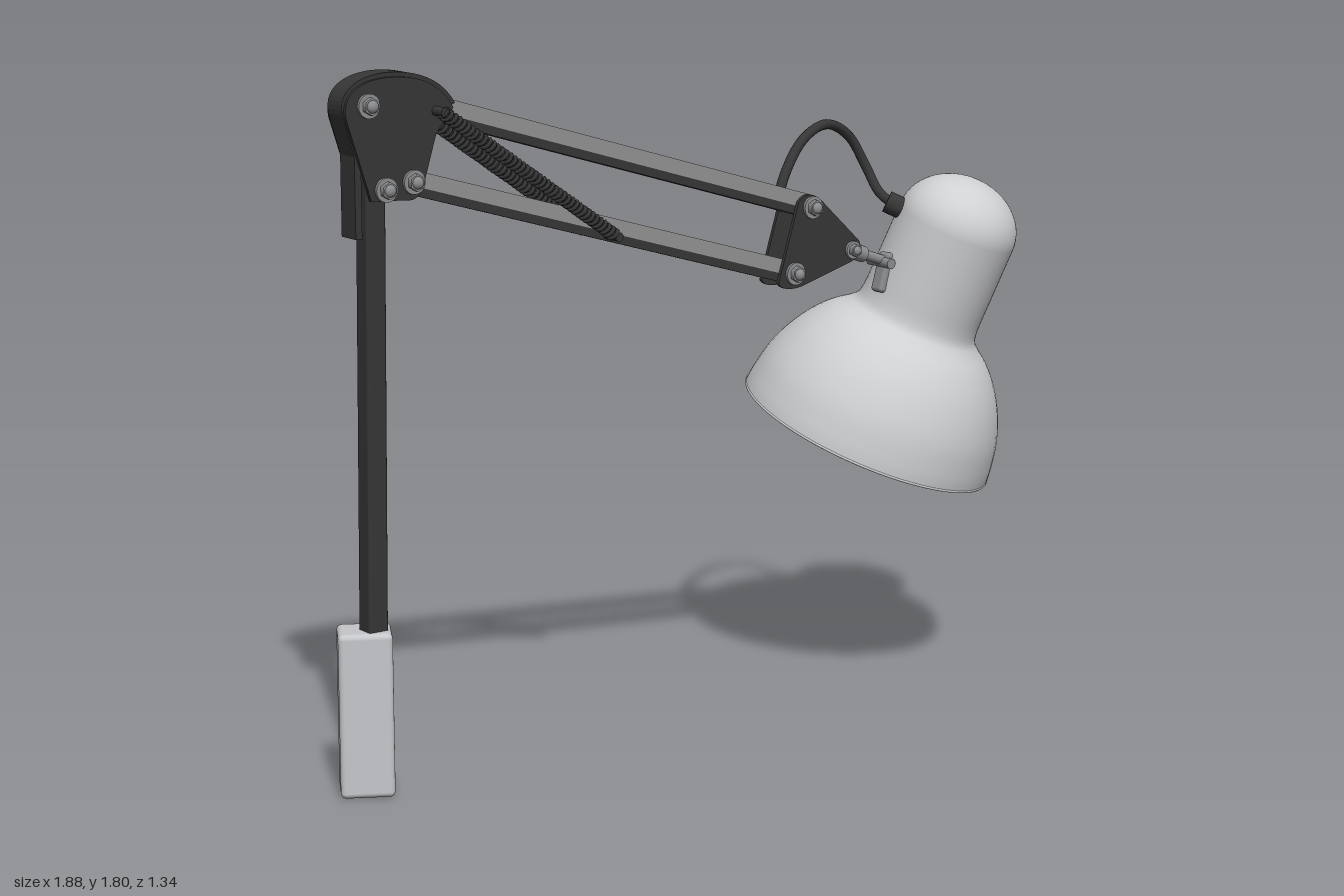
import * as THREE from 'three';
import { RoundedBoxGeometry } from 'three/addons/geometries/RoundedBoxGeometry.js';

const mat = (name, color, side = THREE.FrontSide) => {
  const m = new THREE.MeshStandardMaterial({ color, side });
  m.name = name;
  return m;
};

export function createModel() {
  const dark = mat('darkSteel', 0x363636);
  const grey = mat('armGrey', 0x929292);
  const metal = mat('screwMetal', 0x8c8d8f);
  const light = mat('baseGrey', 0xc6c7cb);
  const enamel = mat('shadeEnamel', 0xcfd0d2, THREE.DoubleSide);
  const glass = mat('bulbGlass', 0xb4b4b6);

  const root = new THREE.Group();
  root.name = 'wallLamp';
  const add = (parent, name, geo, material, x = 0, y = 0, z = 0) => {
    const m = new THREE.Mesh(geo, material);
    m.name = name;
    m.position.set(x, y, z);
    parent.add(m);
    return m;
  };
  const V = (x, y, z = 0) => new THREE.Vector3(x, y, z);
  const Y = V(0, 1, 0);
  // Round rod between two points
  const rod = (parent, name, a, b, r, material, sides = 16) => {
    const d = b.clone().sub(a);
    const m = add(parent, name, new THREE.CylinderGeometry(r, r, d.length(), sides), material);
    m.position.copy(a).add(b).multiplyScalar(0.5);
    m.quaternion.setFromUnitVectors(Y, d.normalize());
    return m;
  };

  // Mounting block
  add(root, 'mountingBlock', new RoundedBoxGeometry(0.135, 0.42, 0.122, 3, 0.014), light, -0.8125, 0.21, 0.58);

  // Everything on the arm lies in one turned vertical plane: x along the arm
  const arm = new THREE.Group();
  arm.name = 'arm';
  arm.position.set(-0.78, 0, 0.585);
  arm.rotation.y = THREE.MathUtils.degToRad(28.5);
  root.add(arm);

  // Upright post, leaning very slightly
  const post = add(arm, 'post', new RoundedBoxGeometry(0.055, 1.15, 0.055, 2, 0.008), dark, -0.004, 0.985, 0);
  post.rotation.z = -0.013;

  // Flat plate cut from a smooth or straight outline
  const plate = (name, shape, thickness, z, material = dark) => {
    const g = new THREE.ExtrudeGeometry(shape, { depth: thickness, bevelEnabled: false, curveSegments: 16 });
    g.translate(0, 0, z - thickness / 2);
    return add(arm, name, g, material);
  };

  // Shoulder bracket: two cheeks with an arched cover and a short tail
  const shoulder = new THREE.Shape();
  shoulder.moveTo(-0.02, 1.49);
  shoulder.lineTo(-0.085, 1.69);
  shoulder.bezierCurveTo(-0.1, 1.76, -0.03, 1.785, 0.04, 1.785);
  shoulder.bezierCurveTo(0.12, 1.785, 0.18, 1.76, 0.215, 1.7);
  shoulder.quadraticCurveTo(0.18, 1.66, 0.165, 1.64);
  shoulder.lineTo(0.125, 1.51);
  shoulder.quadraticCurveTo(0.11, 1.48, 0.08, 1.485);
  shoulder.closePath();

  const cover = new THREE.Shape();
  cover.moveTo(-0.06, 1.4);
  cover.lineTo(-0.06, 1.6);
  cover.lineTo(-0.09, 1.7);
  cover.bezierCurveTo(-0.105, 1.77, -0.03, 1.796, 0.04, 1.796);
  cover.bezierCurveTo(0.12, 1.796, 0.19, 1.77, 0.225, 1.71);
  cover.lineTo(0.205, 1.7);
  cover.bezierCurveTo(0.17, 1.76, 0.12, 1.778, 0.04, 1.778);
  cover.bezierCurveTo(-0.03, 1.778, -0.085, 1.75, -0.072, 1.7);
  cover.lineTo(-0.042, 1.6);
  cover.lineTo(-0.042, 1.4);
  cover.closePath();
  plate('shoulderCover', cover, 0.066, 0);

  // Elbow bracket at the lamp end
  const elbow = new THREE.Shape();
  elbow.moveTo(1.215, 1.165);
  elbow.lineTo(1.28, 1.375);
  elbow.quadraticCurveTo(1.31, 1.41, 1.355, 1.375);
  elbow.lineTo(1.485, 1.255);
  elbow.quadraticCurveTo(1.505, 1.22, 1.46, 1.2);
  elbow.lineTo(1.29, 1.15);
  elbow.quadraticCurveTo(1.23, 1.14, 1.215, 1.165);

  for (const side of [-1, 1]) {
    plate('shoulderCheek', shoulder, 0.01, side * 0.037);
    plate('elbowCheek', elbow, 0.01, side * 0.037);
  }

  // Parallel bars: grey channel above, dark edge below
  const bar = (name, a, b) => {
    const g = new THREE.Group();
    g.name = name;
    g.position.set((a.x + b.x) / 2, (a.y + b.y) / 2, 0);
    g.rotation.z = Math.atan2(b.y - a.y, b.x - a.x);
    arm.add(g);
    const len = a.distanceTo(b) + 0.03;
    add(g, 'barChannel', new THREE.BoxGeometry(len, 0.038, 0.06), grey, 0, 0.011, 0);
    add(g, 'barLowerEdge', new THREE.BoxGeometry(len, 0.022, 0.06), dark, 0, -0.019, 0);
  };
  bar('upperBar', V(0.16, 1.704), V(1.325, 1.36));
  bar('lowerBar', V(0.1, 1.526), V(1.265, 1.188));

  // Pivot screws with washers and domed heads on both sides
  const screw = (x, y, r = 0.024) => {
    rod(arm, 'pivotPin', V(x, y, -0.058), V(x, y, 0.058), r * 0.6, metal);
    for (const side of [-1, 1]) {
      rod(arm, 'washer', V(x, y, side * 0.042), V(x, y, side * 0.05), r * 1.25, metal, 24);
      rod(arm, 'screwHead', V(x, y, side * 0.05), V(x, y, side * 0.064), r * 0.9, metal, 6);
      const cap = add(arm, 'screwCap', new THREE.SphereGeometry(r * 0.65, 14, 8), metal, x, y, side * 0.064);
      cap.scale.z = 0.7;
    }
  };
  [[-0.025, 1.72], [0.02, 1.515], [0.098, 1.528], [1.325, 1.358], [1.268, 1.187]].forEach(([x, y]) => screw(x, y));
  screw(1.462, 1.232, 0.019);

  // Twin coil springs on cross pins
  const s0 = V(0.165, 1.695), s1 = V(0.675, 1.345);
  for (const p of [s0, s1]) rod(arm, 'springPin', V(p.x, p.y, -0.085), V(p.x, p.y, 0.085), 0.012, dark);
  class Helix extends THREE.Curve {
    getPoint(t, out = new THREE.Vector3()) {
      const a = t * 42 * Math.PI * 2;
      return out.set(Math.cos(a) * 0.014, t * this.length, Math.sin(a) * 0.014);
    }
  }
  const dir = s1.clone().sub(s0);
  const helix = new Helix();
  helix.length = dir.length();
  const coil = new THREE.TubeGeometry(helix, 420, 0.0055, 5);
  for (const side of [-1, 1]) {
    const z = side * 0.07;
    const s = add(arm, 'spring', coil, dark, s0.x, s0.y, z);
    s.quaternion.setFromUnitVectors(Y, dir.clone().normalize());
    rod(arm, 'springCore', V(s0.x, s0.y, z), V(s1.x, s1.y, z), 0.011, dark, 10);
  }

  // Swivel rod and clamp holding the shade
  rod(arm, 'swivelRod', V(1.462, 1.232), V(1.6, 1.185), 0.014, metal);
  rod(arm, 'swivelCollar', V(1.5, 1.219), V(1.535, 1.207), 0.022, metal);
  rod(arm, 'clampPin', V(1.6, 1.18, -0.05), V(1.6, 1.18, 0.04), 0.014, metal);
  const clamp = add(arm, 'shadeClamp', new RoundedBoxGeometry(0.04, 0.11, 0.045, 2, 0.01), metal, 1.61, 1.15, 0);
  clamp.rotation.z = -0.28;

  // Shade: flared bell, straight neck, rounded crown
  const head = new THREE.Group();
  head.name = 'lampHead';
  head.position.set(0.615, 0.69, -0.312);
  head.quaternion.setFromUnitVectors(Y, V(0.36, 0.921, 0.142).normalize());
  root.add(head);
  const bell = new THREE.SplineCurve([
    [0.361, 0], [0.357, 0.04], [0.343, 0.11], [0.318, 0.175], [0.284, 0.235],
    [0.24, 0.288], [0.195, 0.325], [0.175, 0.347], [0.168, 0.38], [0.167, 0.43],
  ].map(([r, t]) => new THREE.Vector2(r, t))).getPoints(45);
  const crown = [];
  for (let i = 0; i <= 14; i++) {
    const a = (i / 14) * Math.PI / 2;
    crown.push(new THREE.Vector2(Math.max(0.166 * Math.cos(a), 0.0001), 0.625 + 0.138 * Math.sin(a)));
  }
  add(head, 'shade', new THREE.LatheGeometry([...bell, ...crown], 64), enamel);
  const rim = add(head, 'shadeRim', new THREE.TorusGeometry(0.359, 0.004, 8, 64), enamel);
  rim.rotation.x = Math.PI / 2;

  // Bulb and socket
  const bulb = new THREE.SplineCurve([
    [0.0001, 0.07], [0.06, 0.085], [0.092, 0.14], [0.085, 0.2], [0.05, 0.27], [0.04, 0.33],
  ].map(([r, t]) => new THREE.Vector2(r, t))).getPoints(24);
  add(head, 'bulb', new THREE.LatheGeometry(bulb, 32), glass);
  add(head, 'socket', new THREE.CylinderGeometry(0.055, 0.055, 0.3, 24), dark, 0, 0.47, 0);

  // Power cable looping from elbow to neck, with its grommet
  const path = new THREE.CatmullRomCurve3([
    V(0.315, 1.36, -0.03), V(0.335, 1.43, -0.055), V(0.395, 1.52, -0.12), V(0.475, 1.553, -0.2),
    V(0.55, 1.51, -0.268), V(0.6, 1.425, -0.285), V(0.635, 1.355, -0.26), V(0.69, 1.315, -0.232),
  ]);
  add(root, 'cable', new THREE.TubeGeometry(path, 64, 0.0135, 10), dark);
  rod(root, 'cableGrommet', V(0.65, 1.335, -0.24), V(0.7, 1.312, -0.228), 0.03, dark, 20);

  return root;
}
